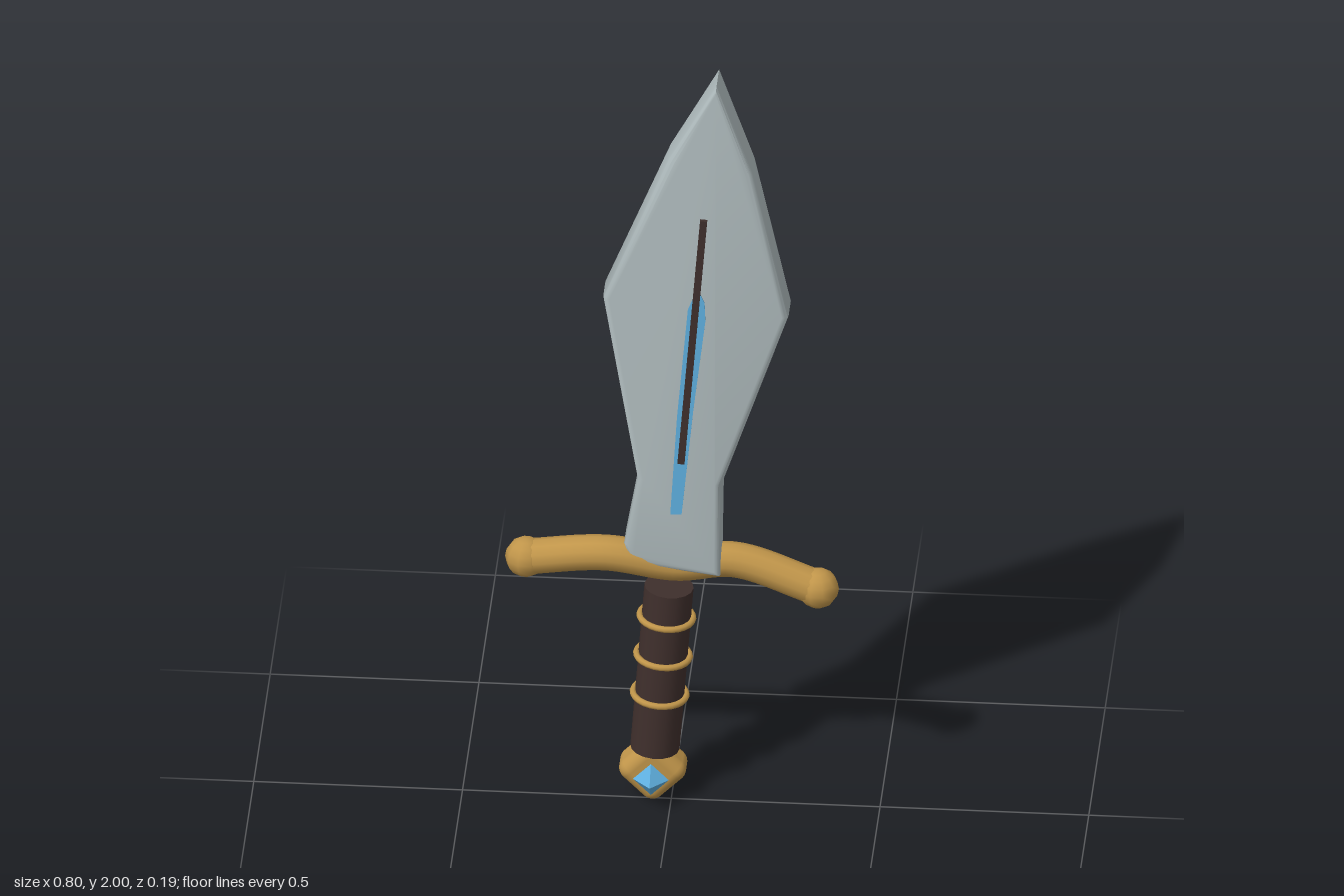
import * as THREE from 'three';
import { toCreasedNormals } from 'three/addons/utils/BufferGeometryUtils.js';
import { RoundedBoxGeometry } from 'three/addons/geometries/RoundedBoxGeometry.js';

const MID = -0.022; // z of the sword's middle plane
const mat = (color, flatShading = false) => new THREE.MeshStandardMaterial({ color, flatShading });

export function createModel() {
  const group = new THREE.Group();
  const steel = mat(0xb0bcbe);
  const gold = mat(0xc0954a);
  const leather = mat(0x3f2f2c);
  const crystal = mat(0x5fb0e0, true);

  const add = (name, geometry, material, x = 0, y = 0, z = MID) => {
    const mesh = new THREE.Mesh(geometry, material);
    mesh.name = name;
    mesh.position.set(x, y, z);
    group.add(mesh);
    return mesh;
  };
  const outline = (pts) => new THREE.Shape(pts.map(([x, y]) => new THREE.Vector2(x, y)));

  // Broad leaf-shaped blade with a narrow rounded bevel
  const bevel = 0.015;
  const bladeShape = outline([
    [0.11, 2.0], [-0.005, 1.79], [-0.162, 1.4], [-0.08, 0.9], [-0.112, 0.715], [-0.1, 0.68],
    [-0.06, 0.658], [0.118, 0.634], [0.122, 0.89], [0.282, 1.365], [0.195, 1.76],
  ]);
  const blade = new THREE.ExtrudeGeometry(bladeShape, {
    depth: 0.098 - 2 * bevel, bevelEnabled: true, bevelSize: bevel,
    bevelThickness: bevel, bevelOffset: -bevel, bevelSegments: 3,
  });
  blade.translate(0, 0, -0.049 + bevel);
  add('blade', toCreasedNormals(blade, 0.6), steel);

  // Dark groove strip running through both blade faces
  const groove = add('grooveStrip', new THREE.BoxGeometry(0.017, 0.68, 0.118), leather, 0.053, 1.293);
  groove.rotation.z = -0.08;

  // Glowing inlay on the front face
  const inlay = outline([
    [0, 0.81], [0.027, 0.81], [0.055, 1.1], [0.084, 1.35], [0.082, 1.4],
    [0.065, 1.44], [0.042, 1.38], [0.016, 1.08],
  ]);
  add('bladeInlay', new THREE.ExtrudeGeometry(inlay, { depth: 0.01, bevelEnabled: false }),
    crystal, 0, 0, 0.021);

  // Wavy crossguard with ball ends
  const guardPath = new THREE.CatmullRomCurve3([
    [-0.35, 0.645, -0.022], [-0.16, 0.675, -0.005], [0.01, 0.645, -0.02],
    [0.15, 0.65, -0.038], [0.35, 0.59, -0.022],
  ].map((p) => new THREE.Vector3(...p)));
  add('crossguard', new THREE.TubeGeometry(guardPath, 40, 0.043, 12), gold, 0, 0, 0);
  for (const t of [0, 1]) {
    const p = guardPath.getPoint(t);
    add(t ? 'leftGuardBall' : 'rightGuardBall', new THREE.SphereGeometry(0.05, 10, 8), gold, p.x, p.y, p.z);
  }

  // Tilted grip with three wire rings
  const lean = -0.075;
  const grip = add('grip', new THREE.CylinderGeometry(0.059, 0.059, 0.45, 16), leather, -0.024, 0.355);
  grip.rotation.z = lean;
  for (const y of [0.495, 0.388, 0.28]) {
    const ring = add('gripRing', new THREE.TorusGeometry(0.064, 0.008, 8, 24).rotateX(Math.PI / 2),
      gold, -0.024 + (y - 0.355) * 0.075, y);
    ring.rotation.z = lean;
  }

  // Rounded diamond pommel holding a gem
  const pommel = add('pommel', new RoundedBoxGeometry(0.131, 0.131, 0.097, 4, 0.03), gold, -0.045, 0.081);
  pommel.rotation.z = Math.PI / 4;
  add('pommelGem', new THREE.OctahedronGeometry(0.043), crystal, -0.045, 0.081, 0.05);

  return group;
}
